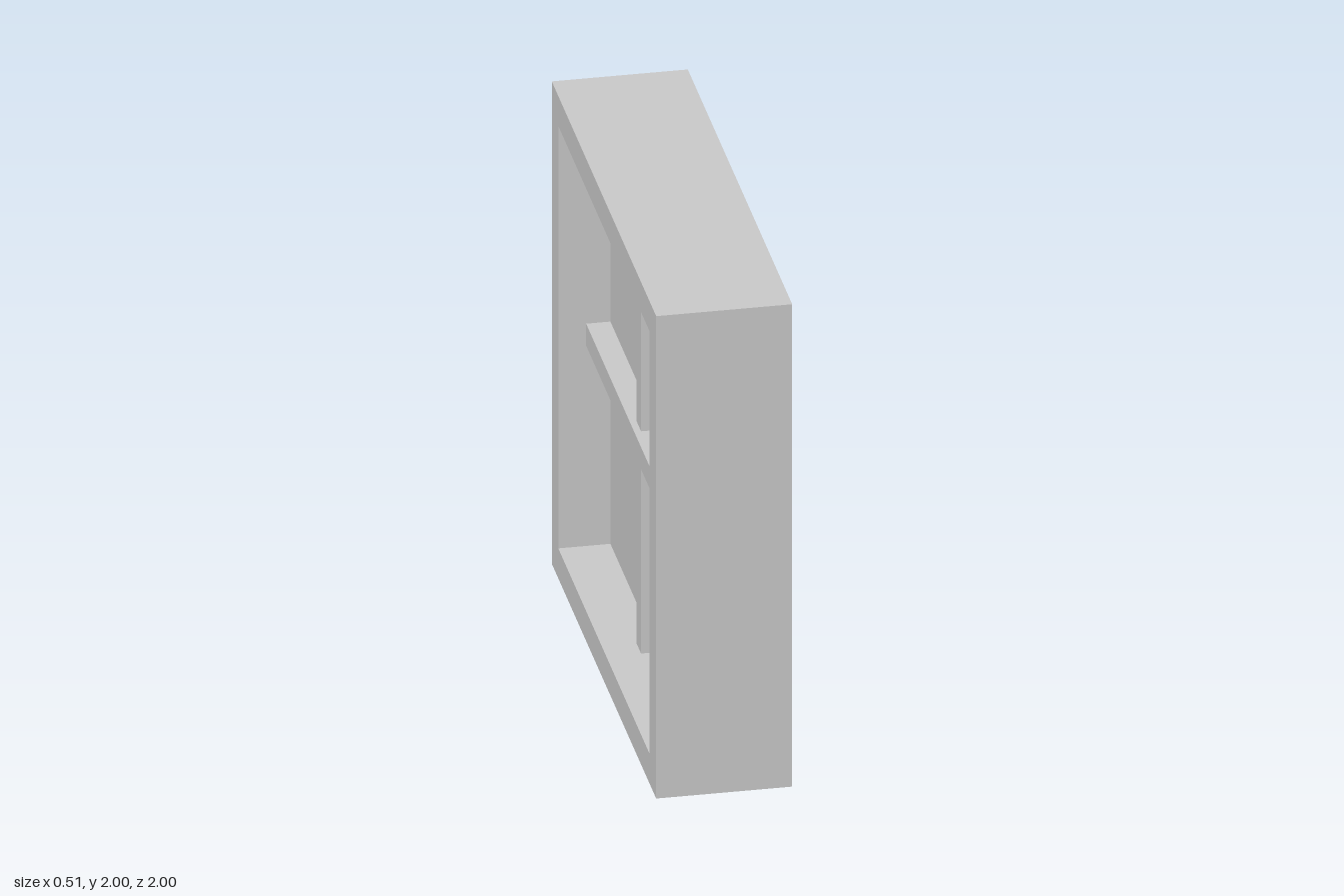
import * as THREE from 'three';

const HALF = 1, OPENING = 0.876, DEPTH = 0.515;

export function createModel() {
  const group = new THREE.Group();
  group.name = 'window';
  const material = new THREE.MeshStandardMaterial({ color: 0xcccccc, flatShading: true });

  const add = (name, geometry, y = 1) => {
    const mesh = new THREE.Mesh(geometry, material);
    mesh.name = name;
    mesh.position.y = y;
    group.add(mesh);
  };

  const square = (Type, h) => new Type([[-h, -h], [h, -h], [h, h], [-h, h]]
    .map(([x, y]) => new THREE.Vector2(x, y)));

  // Deep square frame, open on both wide sides (facing +x and -x)
  const outline = square(THREE.Shape, HALF);
  outline.holes.push(square(THREE.Path, OPENING));
  const frame = new THREE.ExtrudeGeometry(outline, { depth: DEPTH, bevelEnabled: false });
  frame.translate(0, 0, -DEPTH / 2).rotateY(Math.PI / 2);
  add('frame', frame);

  // Pane set in the middle of the frame
  add('pane', new THREE.BoxGeometry(0.12, 2 * OPENING, 2 * OPENING));

  // Crossbar stands prouder than the upright bars above and below it
  const bar = 0.091;
  add('crossbar', new THREE.BoxGeometry(0.304, bar, 2 * OPENING));
  const length = OPENING - bar / 2;
  for (const [name, side] of [['upperBar', 1], ['lowerBar', -1]]) {
    add(name, new THREE.BoxGeometry(0.252, length, bar), 1 + side * (OPENING + bar / 2) / 2);
  }

  return group;
}
